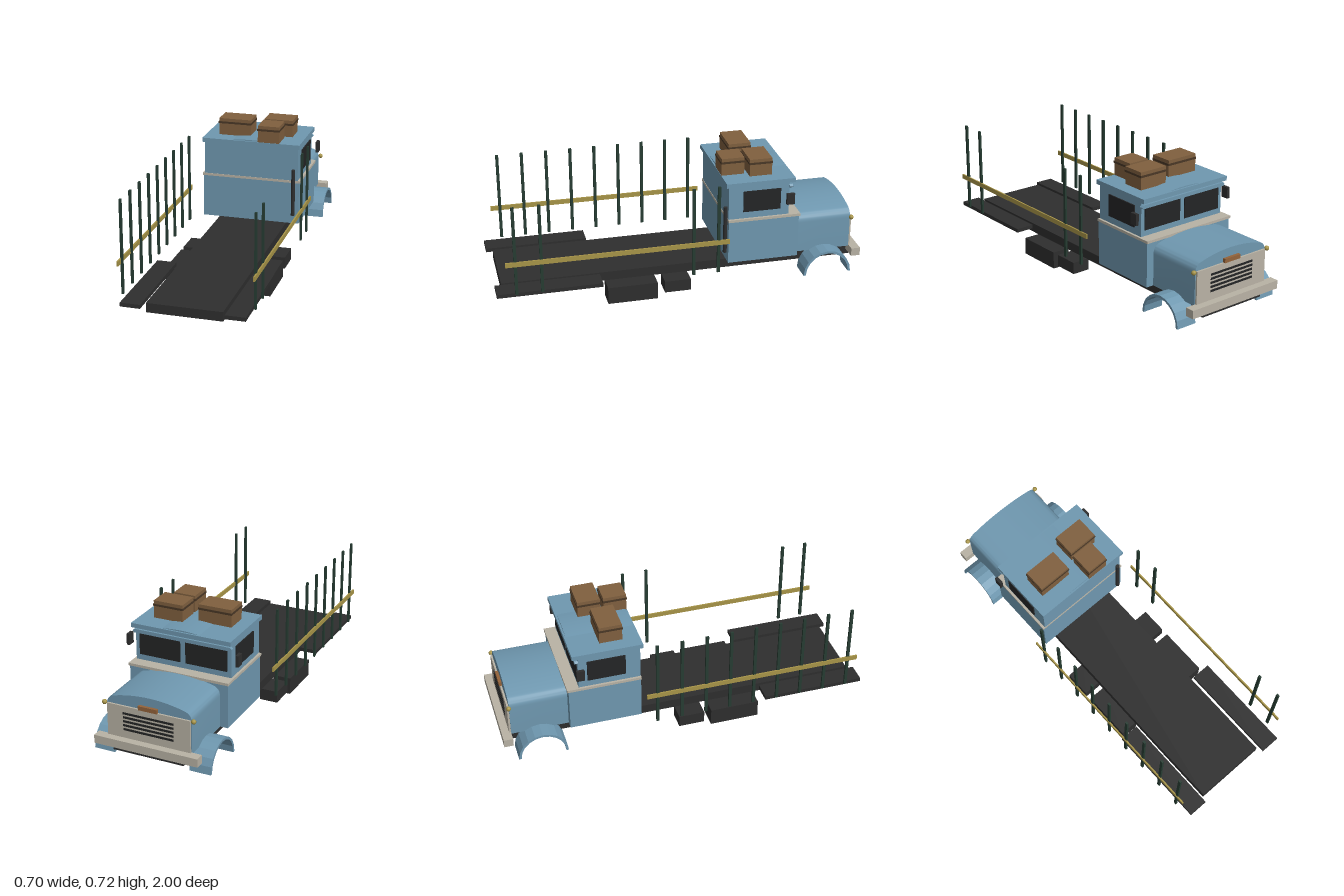
import * as THREE from 'three';
import { toCreasedNormals } from 'three/addons/utils/BufferGeometryUtils.js';

const paint = (name, color) => {
  const m = new THREE.MeshStandardMaterial({ color });
  m.name = name;
  return m;
};

export function createModel() {
  const truck = new THREE.Group();
  truck.name = 'flatbedTruck';

  const blue = paint('bluePaint', 0x6f98b0);
  const black = paint('blackFrame', 0x2e2e2e);
  const glass = paint('darkGlass', 0x242526);
  const cream = paint('creamTrim', 0xb9b3a5);
  const green = paint('darkGreenPost', 0x263c32);
  const gold = paint('goldRail', 0xa89548);
  const brown = paint('brownLeather', 0x80603f);
  const strapBrown = paint('darkStrap', 0x4a3826);
  const copper = paint('copperBadge', 0x94633a);

  const add = (name, geometry, material) => {
    const mesh = new THREE.Mesh(geometry, material);
    mesh.name = name;
    truck.add(mesh);
    return mesh;
  };
  // Box given by its lower and upper bounds on each axis
  const box = (name, material, x0, x1, y0, y1, z0, z1) => {
    const mesh = add(name, new THREE.BoxGeometry(Math.abs(x1 - x0), y1 - y0, z1 - z0), material);
    mesh.position.set((x0 + x1) / 2, (y0 + y1) / 2, (z0 + z1) / 2);
    return mesh;
  };
  const sides = [['left', 1], ['right', -1]];

  // Chassis and bumper
  box('chassis', black, -0.197, 0.197, 0.095, 0.145, -0.97, 0.965);
  box('bumper', cream, -0.288, 0.288, 0.125, 0.17, -1, -0.95);

  // Cab
  box('lowerCab', blue, -0.278, 0.278, 0.162, 0.405, -0.64, -0.25);
  box('beltTrim', cream, -0.283, 0.283, 0.402, 0.416, -0.647, -0.248);
  box('upperCab', blue, -0.27, 0.27, 0.41, 0.605, -0.583, -0.25);
  box('roof', blue, -0.28, 0.28, 0.603, 0.627, -0.614, -0.235);

  // Slight crown on the roof
  const crown = new THREE.Shape();
  crown.moveTo(-0.12, 0.625);
  crown.quadraticCurveTo(0, 0.642, 0.12, 0.625);
  const crownGeo = new THREE.ExtrudeGeometry(crown, { depth: 0.36, bevelEnabled: false, curveSegments: 8 });
  add('roofCrown', toCreasedNormals(crownGeo, 0.6), blue).position.z = -0.604;

  // Wedge visor over the windscreen
  const visor = new THREE.Shape();
  visor.moveTo(-0.27, 0.57);
  visor.lineTo(0.27, 0.57);
  visor.lineTo(0.28, 0.58);
  visor.lineTo(0.27, 0.59);
  visor.lineTo(-0.27, 0.59);
  visor.lineTo(-0.28, 0.58);
  add('visor', new THREE.ExtrudeGeometry(visor, { depth: 0.018, bevelEnabled: false }), blue).position.z = -0.6;

  // Bonnet with rounded shoulders and arched top
  const hood = new THREE.Shape();
  hood.moveTo(-0.235, 0.162);
  hood.lineTo(0.235, 0.162);
  hood.lineTo(0.235, 0.335);
  hood.quadraticCurveTo(0.235, 0.377, 0.195, 0.387);
  hood.quadraticCurveTo(0.1, 0.413, 0, 0.413);
  hood.quadraticCurveTo(-0.1, 0.413, -0.195, 0.387);
  hood.quadraticCurveTo(-0.235, 0.377, -0.235, 0.335);
  const hoodGeo = new THREE.ExtrudeGeometry(hood, { depth: 0.315, bevelEnabled: false, curveSegments: 8 });
  add('hood', toCreasedNormals(hoodGeo, 0.6), blue).position.z = -0.95;

  // Grille, slots and badge
  box('grillePlate', cream, -0.23, 0.23, 0.165, 0.345, -0.96, -0.945);
  for (let i = 0; i < 5; i++) {
    const y = 0.213 + i * 0.022;
    box('grilleSlot', glass, -0.14, 0.14, y, y + 0.011, -0.963, -0.957);
  }
  box('badge', copper, -0.052, 0.052, 0.345, 0.367, -0.966, -0.945);

  // Windscreen panes
  for (const [side, s] of sides) box(side + 'Windscreen', glass, s * 0.015, s * 0.248, 0.448, 0.57, -0.588, -0.58);

  // Wheel arch cross-section
  const arch = new THREE.Shape();
  arch.absarc(0, 0, 0.134, 0, Math.PI, false);
  arch.absarc(0, 0, 0.121, Math.PI, 0, true);
  const archGeo = new THREE.ExtrudeGeometry(arch, { depth: 0.117, bevelEnabled: false, curveSegments: 5 });
  archGeo.translate(0, 0, -0.0585);
  archGeo.rotateY(Math.PI / 2);

  // Parts found on both sides
  for (const [side, s] of sides) {
    add(side + 'FrontFender', archGeo, blue).position.set(s * 0.2685, 0.056, -0.8);
    box(side + 'DoorWindow', glass, s * 0.268, s * 0.277, 0.455, 0.573, -0.535, -0.33);
    box(side + 'Mirror', black, s * 0.3, s * 0.317, 0.492, 0.553, -0.6, -0.557);
    box(side + 'RearMudguard', black, s * 0.215, s * 0.32, 0.126, 0.147, 0.44, 1);
    box(side + 'FuelTank', black, s * 0.186, s * 0.288, 0, 0.095, 0.14, 0.41);
    box(side + 'BatteryBox', black, s * 0.186, s * 0.288, 0.03, 0.095, -0.042, 0.1);
    const lamp = add(side + 'MarkerLamp', new THREE.SphereGeometry(0.013, 10, 8), gold);
    lamp.position.set(s * 0.247, 0.343, -0.953);

    // Stake fence, with an opening in the middle of the left side
    box(side + 'FenceRail', gold, s * 0.342, s * 0.35, 0.314, 0.34, -0.238, 0.95);
    for (let i = 0; i < 9; i++) {
      if (s > 0 && i > 1 && i < 7) continue;
      const z = -0.178 + i * 0.1345;
      box(side + 'FencePost', green, s * 0.335, s * 0.346, 0.15, 0.647, z - 0.008, z + 0.008);
    }
  }

  // Exhaust stack behind the cab
  const stack = add('exhaustStack', new THREE.CylinderGeometry(0.011, 0.011, 0.267, 12), black);
  stack.position.set(0.247, 0.3475, -0.239);

  // Strapped luggage on the roof: x0, x1, z0, z1
  const luggage = [[-0.207, -0.023, -0.45, -0.327], [0.042, 0.206, -0.503, -0.38], [0.042, 0.163, -0.362, -0.237]];
  for (const [x0, x1, z0, z1] of luggage) {
    box('suitcase', brown, x0, x1, 0.627, 0.722, z0, z1);
    box('suitcaseStrap', strapBrown, x0 - 0.003, x1 + 0.003, 0.693, 0.704, z0 - 0.003, z1 + 0.003);
  }
  return truck;
}
